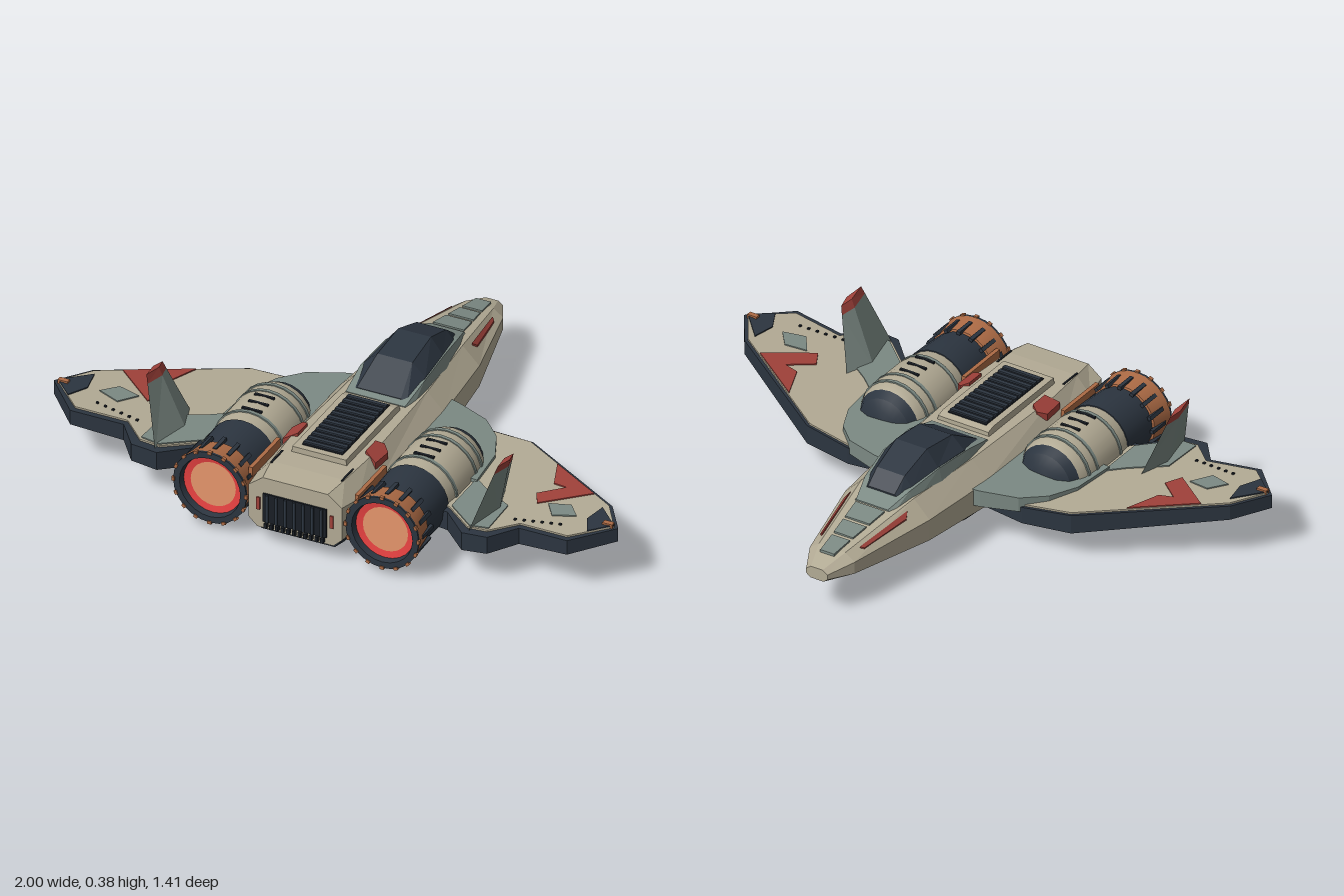
import * as THREE from 'three';
import { toCreasedNormals } from 'three/addons/utils/BufferGeometryUtils.js';

const mat = (name, color) => Object.assign(new THREE.MeshStandardMaterial({ color }), { name });

export function createModel() {
  const cream = mat('hull cream', 0xb3ab95), grey = mat('panel grey green', 0x7c8a84);
  const navy = mat('dark navy', 0x2c3540), black = mat('vent black', 0x191e25);
  const red = mat('marking red', 0xa0413a), copper = mat('nozzle copper', 0xad6b45);
  const glowRed = mat('glow red', 0xf54545), glowCore = mat('glow core', 0xffa678);
  const model = new THREE.Group();
  model.name = 'spacecraft';

  const add = (name, geo, material) => {
    const m = new THREE.Mesh(geo, material);
    m.name = name;
    model.add(m);
    return m;
  };
  // Mirrors a geometry across x = 0, restoring the winding
  const mirror = (geo) => {
    const g = geo.index ? geo.toNonIndexed() : geo.clone();
    g.scale(-1, 1, 1);
    for (const a of Object.values(g.attributes)) {
      const n = a.itemSize;
      for (let i = 0; i < a.count; i += 3)
        for (let k = 0; k < n; k++) {
          const p = (i + 1) * n + k, q = (i + 2) * n + k, t = a.array[p];
          a.array[p] = a.array[q];
          a.array[q] = t;
        }
    }
    return g;
  };
  const both = (name, geo, material) => {
    add(name + 'Left', geo, material);
    add(name + 'Right', mirror(geo), material);
  };
  // Flat-shaded skin over rings of 3D points, capped at both ends
  const loft = (rings) => {
    const v = [], n = rings[0].length;
    const tri = (a, b, c) => v.push(...a, ...b, ...c);
    for (let s = 0; s < rings.length - 1; s++)
      for (let i = 0; i < n; i++) {
        const j = (i + 1) % n, A = rings[s], B = rings[s + 1];
        tri(A[i], A[j], B[i]);
        tri(A[j], B[j], B[i]);
      }
    const first = rings[0], last = rings[rings.length - 1];
    for (let i = 1; i < n - 1; i++) {
      tri(first[0], first[i + 1], first[i]);
      tri(last[0], last[i], last[i + 1]);
    }
    const g = new THREE.BufferGeometry();
    g.setAttribute('position', new THREE.Float32BufferAttribute(v, 3));
    g.computeVertexNormals();
    return g;
  };
  // Symmetric ring at z from its right half, listed bottom to top
  const ring = (z, ...half) => [
    ...half.map(([x, y]) => [x, y, z]),
    ...half.slice().reverse().map(([x, y]) => [-x, y, z])];
  // Plate from an (x, z) outline between two height rules
  const plate = (pts, top, bottom) => {
    const shape = new THREE.Shape(pts.map(([x, z]) => new THREE.Vector2(x, z)));
    let g = new THREE.ExtrudeGeometry(shape, { depth: 1, bevelEnabled: false }).rotateX(Math.PI / 2);
    if (g.index) g = g.toNonIndexed();
    const p = g.attributes.position;
    for (let i = 0; i < p.count; i++) {
      const x = p.getX(i), z = p.getZ(i);
      p.setY(i, p.getY(i) > -0.5 ? top(x, z) : bottom(x, z));
    }
    g.computeVertexNormals();
    return g;
  };
  const sheet = (pts, f, lift = 0.006) => plate(pts, (x, z) => f(x, z) + lift, (x, z) => f(x, z) - 0.003);
  const box = (w, h, d, x, y, z) => new THREE.BoxGeometry(w, h, d).translate(x, y, z);

  // Fuselage: z, top half width and height, side half width, side heights, bottom half width and height
  add('fuselage', loft([
    [-0.71, 0.022, 0.168, 0.04, 0.155, 0.138, 0.025, 0.126],
    [-0.62, 0.05, 0.197, 0.085, 0.172, 0.13, 0.045, 0.108],
    [-0.3, 0.1, 0.25, 0.16, 0.19, 0.115, 0.09, 0.064],
    [0, 0.125, 0.252, 0.185, 0.19, 0.1, 0.11, 0.03],
    [0.45, 0.14, 0.256, 0.185, 0.195, 0.09, 0.12, 0.03],
    [0.6, 0.13, 0.256, 0.18, 0.2, 0.09, 0.125, 0.04],
    [0.69, 0.115, 0.248, 0.165, 0.21, 0.09, 0.135, 0.062],
  ].map(([z, wt, yt, w, yu, yl, wb, yb]) => ring(z, [wb, yb], [w, yl], [w, yu], [wt, yt]))), cream);
  add('keel', loft([
    [-0.42, 0.02, 0.075, 0.04, 0.09], [0, 0.1, 0.018, 0.155, 0.075], [0.45, 0.12, 0.002, 0.167, 0.07],
    [0.58, 0.12, 0.014, 0.165, 0.07], [0.67, 0.13, 0.045, 0.15, 0.07],
  ].map(([z, wb, yb, wt, yt]) => ring(z, [wb, yb], [wt, yt]))), navy);

  // Canopy and its frame
  add('canopyFrame', loft([
    [-0.39, 0.075, 0.06, 0.24], [-0.3, 0.1, 0.085, 0.272], [-0.16, 0.12, 0.105, 0.293],
    [0, 0.125, 0.113, 0.285], [0.12, 0.12, 0.105, 0.256],
  ].map(([z, w, t, y]) => ring(z, [w, 0.225], [t, y]))), grey);
  add('canopy', loft([
    [-0.335, 0.065, 0.25, 0.05, 0.265], [-0.28, 0.08, 0.272, 0.052, 0.307], [-0.16, 0.1, 0.293, 0.058, 0.348],
    [-0.02, 0.108, 0.288, 0.062, 0.331], [0.095, 0.1, 0.256, 0.078, 0.264],
  ].map(([z, w, y, wt, yt]) => ring(z, [w, 0.23], [w, y], [wt, yt]))), navy);

  // Nose deck panels and stripes
  const deck = (x, z) => 0.25 + (z + 0.3) * 0.166;
  [[-0.65, -0.57, 0.026, 0.034], [-0.555, -0.49, 0.036, 0.044], [-0.475, -0.4, 0.046, 0.055]].forEach(
    ([a, b, w0, w1]) => add('nosePanel', sheet([[-w0, a], [w0, a], [w1, b], [-w1, b]], deck), grey));
  const bevel = (x, z) => {
    const t = (z + 0.62) / 0.32, wt = 0.05 + 0.05 * t, w = 0.085 + 0.075 * t;
    const yt = 0.197 + 0.053 * t, yu = 0.172 + 0.018 * t;
    return yt - (yt - yu) * (x - wt) / (w - wt);
  };
  both('noseStripe', sheet([[0.072, -0.57], [0.083, -0.56], [0.118, -0.37], [0.108, -0.35]], bevel), red);

  // Dorsal louvres
  add('ventHousing', loft([ring(0.14, [0.1, 0.24], [0.095, 0.268]), ring(0.17, [0.1, 0.24], [0.095, 0.276]),
    ring(0.52, [0.1, 0.24], [0.095, 0.276])]), cream);
  add('ventWell', box(0.145, 0.004, 0.335, 0, 0.277, 0.33), black);
  for (let i = 0; i < 12; i++) add('louvre', box(0.14, 0.008, 0.014, 0, 0.281, 0.178 + i * 0.0277), navy);

  // Rear vent, hull markers and fittings
  add('rearVent', box(0.225, 0.105, 0.012, 0, 0.14, 0.69), black);
  for (let i = -3; i <= 3; i++) add('rearVane', box(0.009, 0.1, 0.016, i * 0.032, 0.14, 0.694), navy);
  for (let i = -5; i <= 5; i++) add('rearTooth', box(0.01, 0.018, 0.02, i * 0.02, 0.078, 0.695), black);
  both('rearMarker', box(0.012, 0.045, 0.008, 0.13, 0.15, 0.691), red);
  both('hullMarker', plate([[0.12, 0.36], [0.145, 0.345], [0.17, 0.37], [0.165, 0.45], [0.12, 0.43]],
    (x) => 0.268 - (x - 0.12) * 0.5, () => 0.22), red);
  both('hullRail', box(0.014, 0.035, 0.2, 0.188, 0.215, 0.53), copper);
  both('hullSlot', box(0.006, 0.006, 0.08, 0.125, 0.256, 0.57).rotateY(0), black);

  // Wings
  const top = (x) => 0.162 + 0.078 * (x - 0.45);
  const under = (x) => Math.max(0.094, 0.094 + 0.115 * (x - 0.45));
  both('wingBody', plate([[0.15, 0], [0.33, -0.025], [0.5, 0], [0.92, 0.28], [1, 0.4], [0.88, 0.525],
    [0.7, 0.505], [0.63, 0.592], [0.54, 0.592], [0.44, 0.49], [0.15, 0.45]], top, under), navy);
  both('wingSkin', sheet([[0.33, -0.015], [0.495, 0.008], [0.912, 0.288], [0.985, 0.4], [0.872, 0.505],
    [0.695, 0.485], [0.615, 0.56], [0.545, 0.56], [0.44, 0.47], [0.33, 0.4]], top), cream);
  both('wingStrake', plate([[0.15, -0.08], [0.2, -0.07], [0.32, -0.028], [0.39, 0.04], [0.435, 0.14],
    [0.45, 0.3], [0.15, 0.3]], (x) => 0.205 - 0.06 * x, () => 0.135), grey);
  const paint = (name, pts, m, lift = 0.01) => both(name, sheet(pts, top, lift), m);
  paint('wingRootPanel', [[0.44, 0.28], [0.5, 0.33], [0.61, 0.4], [0.615, 0.55], [0.55, 0.555], [0.44, 0.46]], grey);
  paint('wingChevron', [[0.64, 0.11], [0.835, 0.24], [0.69, 0.355], [0.66, 0.3], [0.735, 0.235], [0.685, 0.225],
    [0.56, 0.2]].slice(0, 6), red);
  paint('wingHatch', [[0.8, 0.33], [0.725, 0.345], [0.77, 0.41], [0.845, 0.385]], grey);
  paint('wingTipPanel', [[0.9, 0.31], [0.985, 0.4], [0.92, 0.46], [0.885, 0.39]], navy);
  both('tipLight', box(0.035, 0.016, 0.018, 0.965, 0.21, 0.4), copper);
  for (let i = 0; i < 6; i++) both('wingRivet', box(0.008, 0.006, 0.008, 0.67 + i * 0.03, top(0.67 + i * 0.03) + 0.008, 0.47 - i * 0.004), black);

  // Canted fins with coloured tips
  const finRing = (t) => {
    const mix = (a, b) => a + (b - a) * t;
    const x0 = mix(0.515, 0.612), x1 = mix(0.585, 0.632), z0 = mix(0.31, 0.385), z1 = mix(0.58, 0.5);
    const y = mix(0.15, 0.378), m = (x0 + x1) / 2, c = z0 + (z1 - z0) * 0.4;
    return [[m, y, z1], [x1, y, c], [m, y, z0], [x0, y, c]].map(([x, yy, z]) => [x, yy + t * (z - 0.43) * 0.12, z]);
  };
  both('fin', loft([finRing(0), finRing(0.88)]), grey);
  both('finTip', loft([finRing(0.88), finRing(1)]), red);

  // Engines
  const EX = 0.305, EY = 0.155;
  const turned = (pts) => toCreasedNormals(
    new THREE.LatheGeometry(pts.map(([r, z]) => new THREE.Vector2(r, z)), 24).rotateX(Math.PI / 2), 0.45)
    .translate(EX, EY, 0);
  both('engineIntake', turned([[0, 0.125], [0.06, 0.13], [0.095, 0.15], [0.115, 0.19]]), navy);
  both('engineBody', turned([[0.112, 0.18], [0.121, 0.2], [0.126, 0.26], [0.126, 0.38], [0.116, 0.455]]), cream);
  [[0.22, 0.127], [0.265, 0.129], [0.4, 0.127]].forEach(([z, r]) =>
    both('engineBand', turned([[0.11, z - 0.006], [r, z - 0.006], [r, z + 0.006], [0.11, z + 0.006]]), grey));
  both('engineCollar', turned([[0.1, 0.445], [0.12, 0.45], [0.118, 0.52], [0.112, 0.61]]), navy);
  both('nozzle', turned([[0.1, 0.595], [0.12, 0.6], [0.13, 0.68]]), copper);
  both('nozzleLip', turned([[0.13, 0.678], [0.13, 0.686], [0.108, 0.686], [0.1, 0.65]]), navy);
  both('glowRing', turned([[0.108, 0.665], [0.076, 0.66]]), glowRed);
  both('glowCore', turned([[0.08, 0.661], [0, 0.661]]), glowCore);
  for (let i = 0; i < 16; i++) {
    const place = (g) => g.rotateZ(i * Math.PI / 8).translate(EX, EY, 0);
    both('nozzlePetal', place(box(0.013, 0.012, 0.075, 0, 0.123, 0.615)), navy);
    both('nozzleBolt', place(box(0.014, 0.01, 0.012, 0, 0.129, 0.684)), copper);
  }
  for (let i = 0; i < 3; i++) both('engineSlot', box(0.07, 0.008, 0.01, EX, EY + 0.123, 0.295 + i * 0.045), black);

  return model;
}
